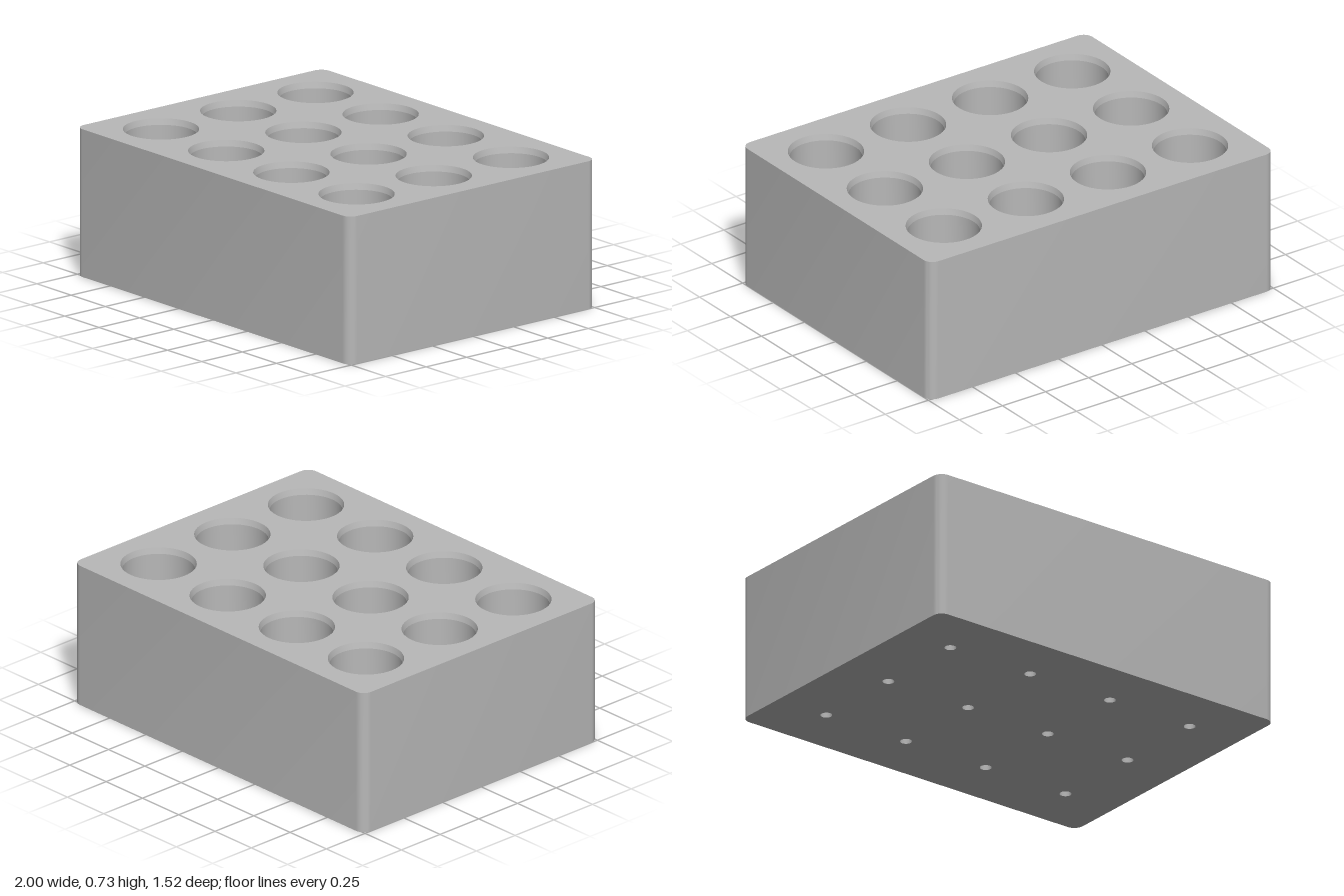
import * as THREE from 'three';
import { toCreasedNormals } from 'three/addons/utils/BufferGeometryUtils.js';

const WIDTH = 2, DEPTH = 1.524, HEIGHT = 0.725, CORNER = 0.05;
const PITCH = 0.476, COLUMNS = 4, ROWS = 3;
const RIM = 0.18, POCKET = 0.172, CHAMFER = 0.03, DRAIN = 0.028, FLOOR = 0.05;

// Rounded rectangle, counterclockwise
function outlinePoints(steps = 8) {
  const points = [];
  for (let corner = 0; corner < 4; corner++) {
    const cx = (corner === 0 || corner === 3 ? 1 : -1) * (WIDTH / 2 - CORNER);
    const cy = (corner < 2 ? 1 : -1) * (DEPTH / 2 - CORNER);
    for (let i = 0; i <= steps; i++) {
      const a = (corner + i / steps) * Math.PI / 2;
      points.push(new THREE.Vector2(cx + CORNER * Math.cos(a), cy + CORNER * Math.sin(a)));
    }
  }
  return points;
}

// Flat face pierced by the grid of round holes
function piercedFace(outline, centres, radius) {
  const shape = new THREE.Shape(outline);
  for (const [x, z] of centres) {
    shape.holes.push(new THREE.Path().absarc(x, -z, radius, 0, Math.PI * 2, true));
  }
  return new THREE.ShapeGeometry(shape, 24);
}

// Strip wrapped around the outline
function wallBand(outline) {
  const n = outline.length;
  const geometry = new THREE.PlaneGeometry(1, HEIGHT, n, 1);
  const position = geometry.attributes.position;
  for (let i = 0; i < position.count; i++) {
    const p = outline[(i % (n + 1)) % n];
    position.setXYZ(i, p.x, position.getY(i) + HEIGHT / 2, -p.y);
  }
  return toCreasedNormals(geometry, Math.PI / 6);
}

export function createModel() {
  const model = new THREE.Group();
  model.name = 'holderBlock';
  const grey = new THREE.MeshStandardMaterial({ color: 0xb8b8b8 });
  grey.name = 'grey';
  const add = (name, geometry) => {
    const mesh = new THREE.Mesh(geometry, grey);
    mesh.name = name;
    model.add(mesh);
    return mesh;
  };

  const centres = [];
  for (let row = 0; row < ROWS; row++) {
    for (let column = 0; column < COLUMNS; column++) {
      centres.push([(column - (COLUMNS - 1) / 2) * PITCH, (row - (ROWS - 1) / 2) * PITCH]);
    }
  }

  // Outer shell
  const outline = outlinePoints();
  add('sideWalls', wallBand(outline));
  add('topFace', piercedFace(outline, centres, RIM).rotateX(-Math.PI / 2)).position.y = HEIGHT;
  add('bottomFace', piercedFace(outline, centres, DRAIN).rotateX(Math.PI / 2));

  // Pockets: chamfered rim, straight bore, flat floor and drain hole
  const profile = [
    [RIM, HEIGHT], [POCKET, HEIGHT - CHAMFER], [POCKET, FLOOR], [DRAIN, FLOOR], [DRAIN, 0],
  ].map(([r, y]) => new THREE.Vector2(r, y));
  const pocket = toCreasedNormals(new THREE.LatheGeometry(profile, 48), Math.PI / 15);
  centres.forEach(([x, z], i) => add(`pocket${i + 1}`, pocket).position.set(x, 0, z));

  return model;
}
